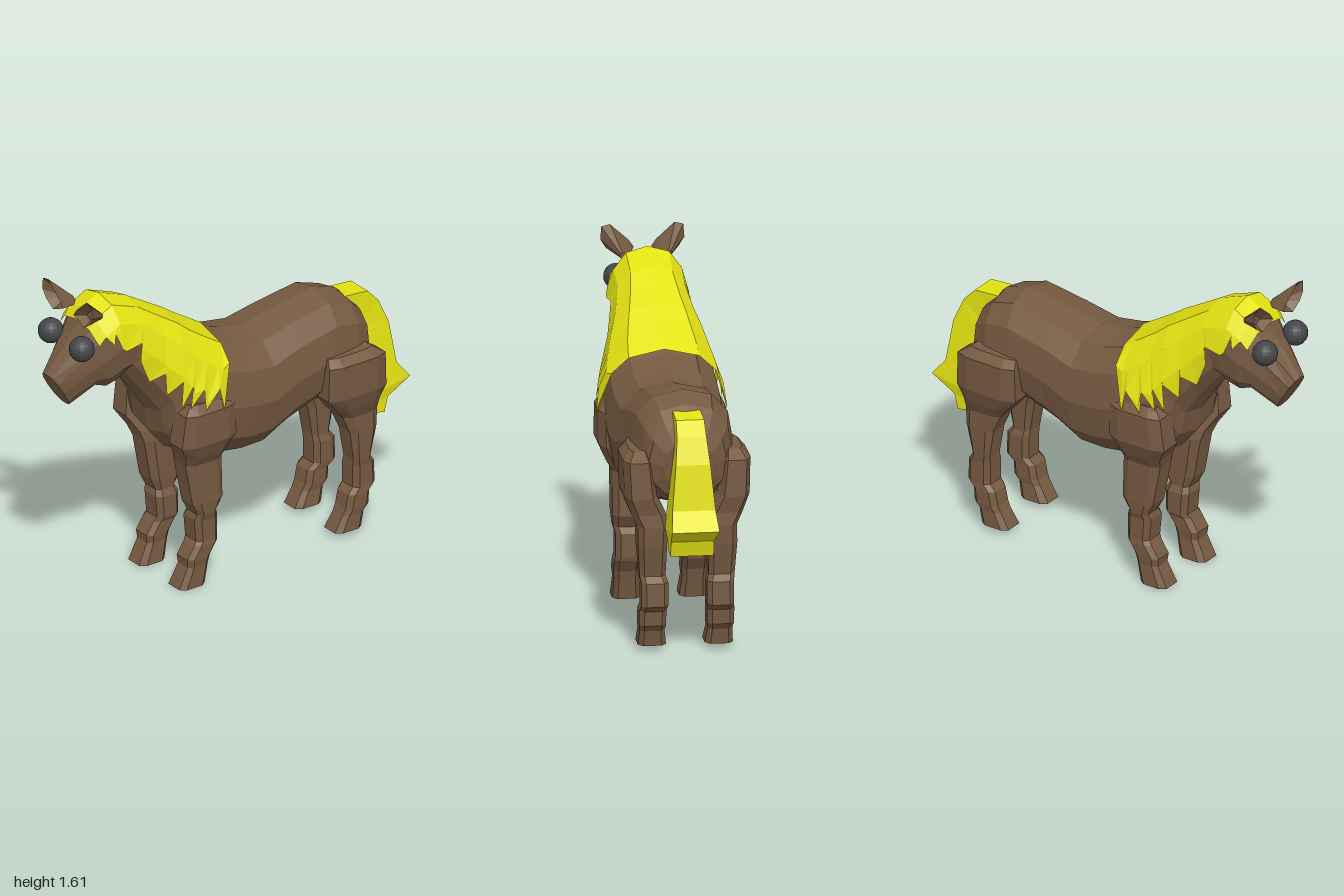
import * as THREE from 'three';

const mat = (name, color, opt = {}) => Object.assign(
  new THREE.MeshStandardMaterial({ color, flatShading: true, ...opt }), { name });

// Skin a series of rings into a closed, flat-shaded solid, facing outwards.
function loft(rings) {
  const n = rings[0].length, pos = [], tris = [];
  rings.forEach(r => r.forEach(p => pos.push(p[0], p[1], p[2])));
  for (let i = 0; i < rings.length - 1; i++) {
    for (let j = 0; j < n; j++) {
      const a = i * n + j, b = i * n + (j + 1) % n;
      tris.push([a, b, a + n], [b, b + n, a + n]);
    }
  }
  // end caps fan out from their centres
  [0, rings.length - 1].forEach((ri, end) => {
    const c = [0, 1, 2].map(k => rings[ri].reduce((s, p) => s + p[k], 0) / n);
    const ci = pos.length / 3;
    pos.push(...c);
    for (let j = 0; j < n; j++) {
      const a = ri * n + j, b = ri * n + (j + 1) % n;
      tris.push(end ? [ci, a, b] : [ci, b, a]);
    }
  });
  // signed volume decides whether the corners need reversing
  const v = i => new THREE.Vector3().fromArray(pos, i * 3);
  const vol = tris.reduce((s, [a, b, c]) => s + v(a).dot(v(b).cross(v(c))), 0);
  if (vol < 0) tris.forEach(t => t.reverse());
  return toGeometry(pos, tris);
}

function toGeometry(pos, tris) {
  let g = new THREE.BufferGeometry();
  g.setAttribute('position', new THREE.Float32BufferAttribute(pos, 3));
  g.setIndex(tris.flat());
  g = g.toNonIndexed();
  g.computeVertexNormals();
  return g;
}

// Sections: [top z, top y, bottom z, bottom y, half width]
const TORSO = [
  [-0.75, 1.01, -0.735, 0.80, 0.12], [-0.72, 1.10, -0.71, 0.74, 0.18],
  [-0.65, 1.17, -0.60, 0.69, 0.22], [-0.53, 1.21, -0.42, 0.68, 0.24],
  [-0.30, 1.175, -0.27, 0.63, 0.25], [-0.13, 1.14, -0.13, 0.565, 0.265],
  [0.00, 1.16, 0.00, 0.565, 0.275], [0.12, 1.20, 0.18, 0.59, 0.275],
  [0.20, 1.25, 0.33, 0.65, 0.265], [0.28, 1.30, 0.42, 0.76, 0.24],
  [0.35, 1.35, 0.44, 0.88, 0.215], [0.45, 1.41, 0.51, 0.99, 0.18],
  [0.55, 1.47, 0.62, 1.13, 0.155],
];
const HEAD = [
  [0.70, 1.53, 0.66, 1.10, 0.16], [0.79, 1.48, 0.72, 1.09, 0.165],
  [0.86, 1.38, 0.77, 1.11, 0.135], [1.00, 1.215, 0.89, 1.035, 0.065],
];
const SPINE = [...TORSO, ...HEAD];

// Point on a section at an angle measured down from its top
function around(s, deg, off = 0) {
  const a = deg * Math.PI / 180;
  const soft = v => Math.sign(v) * Math.pow(Math.abs(v), 0.85);
  const half = Math.hypot(s[0] - s[2], s[1] - s[3]) / 2;
  const k = soft(Math.cos(a)) * (1 + off / half) / 2;
  return [soft(Math.sin(a)) * (s[4] + off),
    (s[1] + s[3]) / 2 + k * (s[1] - s[3]), (s[0] + s[2]) / 2 + k * (s[0] - s[2])];
}
const oval = s => Array.from({ length: 12 }, (_, i) => around(s, i * 30));

// Legs: [y, back z, front z, inner x, outer x]
const FRONT_LEG = [
  [0.96, 0.17, 0.36, 0.20, 0.26], [0.92, 0.12, 0.40, 0.16, 0.295],
  [0.76, 0.11, 0.42, 0.14, 0.295], [0.68, 0.14, 0.37, 0.10, 0.26],
  [0.63, 0.15, 0.355, 0.09, 0.23], [0.42, 0.145, 0.315, 0.095, 0.23],
  [0.36, 0.18, 0.285, 0.10, 0.225], [0.33, 0.165, 0.295, 0.085, 0.215],
  [0.22, 0.165, 0.285, 0.085, 0.215], [0.20, 0.17, 0.30, 0.095, 0.22],
  [0.14, 0.21, 0.34, 0.095, 0.22], [0.10, 0.22, 0.335, 0.10, 0.215],
  [0.00, 0.24, 0.385, 0.09, 0.22],
];
const HIND_LEG = [
  [0.96, -0.68, -0.43, 0.18, 0.26], [0.92, -0.74, -0.42, 0.16, 0.295],
  [0.75, -0.75, -0.42, 0.14, 0.29], [0.67, -0.735, -0.49, 0.10, 0.26],
  [0.61, -0.74, -0.545, 0.09, 0.23], [0.52, -0.735, -0.585, 0.095, 0.23],
  [0.37, -0.705, -0.61, 0.10, 0.22], [0.34, -0.73, -0.61, 0.09, 0.215],
  [0.23, -0.735, -0.61, 0.09, 0.215], [0.20, -0.70, -0.58, 0.095, 0.22],
  [0.13, -0.695, -0.565, 0.095, 0.22], [0.10, -0.67, -0.55, 0.10, 0.215],
  [0.025, -0.655, -0.505, 0.09, 0.22],
];
function legRing([y, z0, z1, x0, x1], side) {
  const c = 0.22, cx = (x0 + x1) / 2, cz = (z0 + z1) / 2;
  return [[1, c], [c, 1], [-c, 1], [-1, c], [-1, -c], [-c, -1], [c, -1], [1, -c]].map(([u, w]) => {
    const bx = Math.abs(u) === c ? 0.65 * Math.sign(u) : u;
    const bz = Math.abs(w) === c ? 0.6 * Math.sign(w) : w;
    return [side * (cx + bx * (x1 - x0) / 2), y, cz + bz * (z1 - z0) / 2];
  });
}

// Tail: [outer z, outer y, inner z, inner y, half width]
const TAIL = [
  [-0.66, 1.145, -0.67, 1.09, 0.065], [-0.79, 1.135, -0.72, 1.06, 0.065],
  [-0.85, 1.07, -0.745, 0.98, 0.068], [-0.90, 0.95, -0.745, 0.88, 0.08],
  [-0.93, 0.74, -0.73, 0.70, 0.10], [-1.00, 0.655, -0.745, 0.61, 0.11],
  [-0.88, 0.58, -0.76, 0.555, 0.10], [-0.86, 0.505, -0.77, 0.525, 0.10],
];

// Mane hem: [position along the spine sections, angle where the hair ends]
const HEM = [
  [7, 52], [7.45, 92], [7.75, 78], [8.3, 95], [8.55, 84], [9.05, 102], [9.2, 88],
  [9.65, 115], [10, 93], [10.6, 120], [10.9, 98], [11.45, 124], [12, 106],
  [12.1, 85], [13, 90], [13.25, 86], [13.45, 66], [13.7, 76], [14, 60], [14.5, 62],
];
function maneGeometry() {
  const pos = [], tris = [];
  for (const side of [1, -1]) {
    const start = pos.length / 3;
    HEM.forEach(([t, edge], i) => {
      const k = Math.floor(t), f = t - k;
      const s = SPINE[k].map((v, j) => v + (SPINE[k + 1][j] - v) * f);
      [0, 30, 60, 90, 180].forEach((row, r) => {
        const a = Math.min(row, edge), p = around(s, a, 0.02);
        pos.push(side * (p[0] + 0.025 * Math.max(0, (a - 60) / 60)), p[1], p[2]);
        if (i && r) {
          const d = start + i * 5 + r, q = [d - 6, d - 5, d, d - 1];
          if (side < 0) q.reverse();
          tris.push([q[0], q[2], q[1]], [q[0], q[3], q[2]]);
        }
      });
    });
  }
  return toGeometry(pos, tris);
}

export function createModel() {
  const coat = mat('brown coat', 0x755a41);
  const hair = mat('yellow hair', 0xe4e212);
  const maneHair = hair;
  maneHair.side = THREE.DoubleSide;
  const eyeMat = mat('dark eye', 0x43464a);
  const group = new THREE.Group();
  group.name = 'horse';
  const add = (name, geo, m) => {
    const mesh = new THREE.Mesh(geo, m);
    mesh.name = name;
    group.add(mesh);
    return mesh;
  };

  add('bodyNeckAndHead', loft(SPINE.map(oval)), coat);
  add('mane', maneGeometry(), maneHair);
  add('tail', loft(TAIL.map(([z0, y0, z1, y1, w]) =>
    [[-w, y0, z0], [w, y0, z0], [w, y1, z1], [-w, y1, z1]])), hair);

  // ear outline at the open front; it narrows to the back and is hollowed inside
  const earOutline = [[0.04, 1.50], [0.065, 1.535], [0.15, 1.61], [0.19, 1.60], [0.195, 1.54], [0.17, 1.50], [0.12, 1.465]];
  const earRing = (side, size, cx, cy, z, tilt) => earOutline.map(([x, y]) =>
    [side * (cx + (x - 0.12) * size), cy + (y - 1.53) * size, z + (y - 1.53) * tilt]);

  for (const side of [1, -1]) {
    const s = side > 0 ? 'left' : 'right';
    add(s + 'FrontLeg', loft(FRONT_LEG.map(r => legRing(r, side))), coat);
    add(s + 'HindLeg', loft(HIND_LEG.map(r => legRing(r, side))), coat);
    add(s + 'Ear', loft([
      earRing(side, 0.25, 0.10, 1.485, 0.765, 0),
      earRing(side, 1, 0.12, 1.53, 0.875, 0.05),
      earRing(side, 0.4, 0.115, 1.515, 0.83, 0),
    ]), coat);
    add(s + 'Eye', new THREE.SphereGeometry(0.06, 16, 12), eyeMat)
      .position.set(side * 0.12, 1.36, 0.885);
  }
  return group;
}
